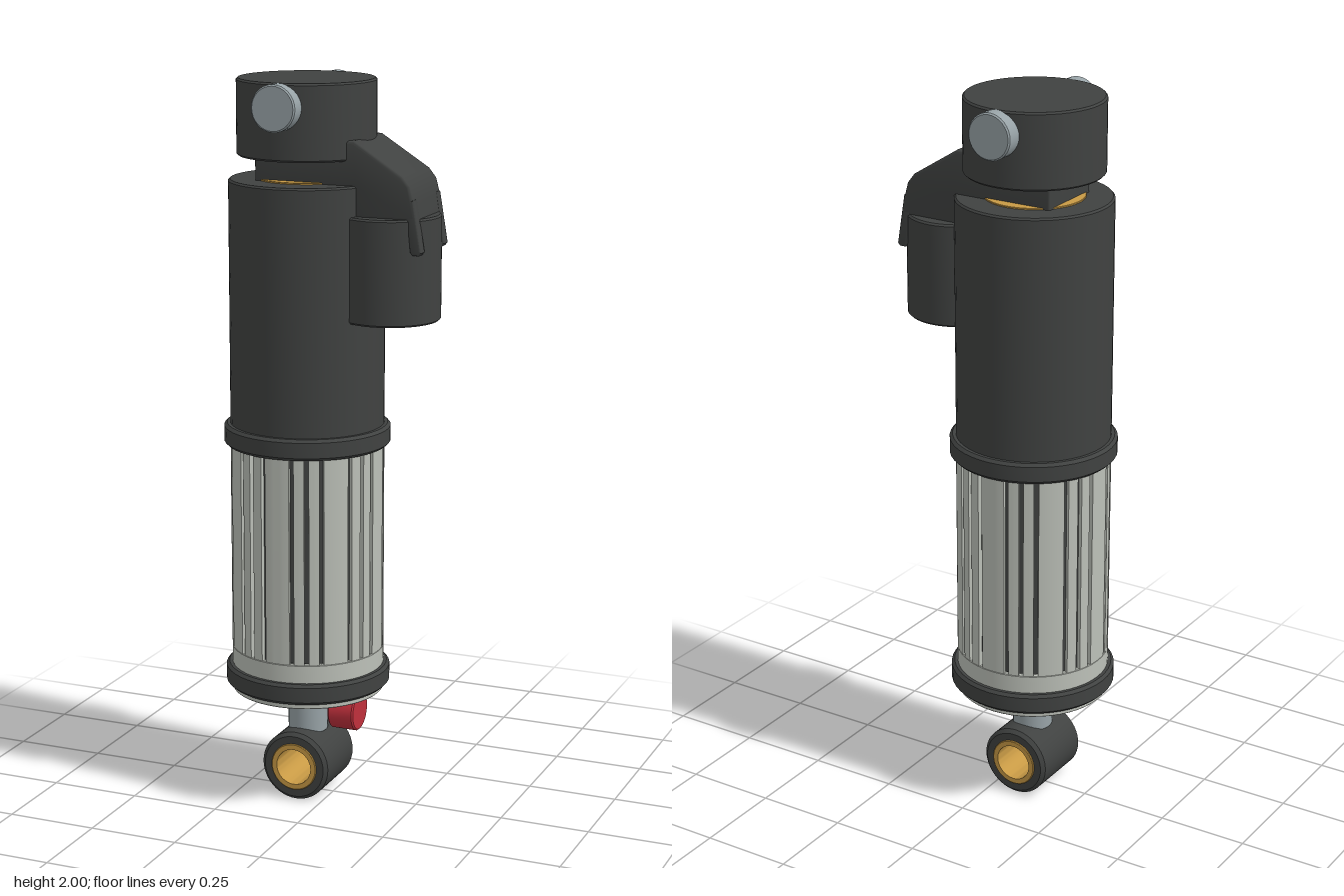
import * as THREE from 'three';
import { toCreasedNormals } from 'three/addons/utils/BufferGeometryUtils.js';

const AXIS = -0.076; // x of the damper's main axis

const mat = (color) => new THREE.MeshStandardMaterial({ color });

export function createModel() {
  const model = new THREE.Group();
  const dark = mat(0x404241), silver = mat(0xbcc0b8), steel = mat(0x98a3a7);
  const gold = mat(0xc89a45), red = mat(0xc0303c);

  const add = (name, geometry, material, x = 0, y = 0, z = 0) => {
    const mesh = new THREE.Mesh(geometry, material);
    mesh.name = name;
    mesh.position.set(x, y, z);
    model.add(mesh);
    return mesh;
  };

  const lathe = (points, segments = 48) => toCreasedNormals(
    new THREE.LatheGeometry(points.map(([r, y]) => new THREE.Vector2(r, y)), segments), 0.5);

  // Solid cylinder from y0 to y1 with chamfered rims
  const drum = (r, y0, y1, c = 0.005, segments = 48) => lathe([
    [0, y0], [r - c, y0], [r, y0 + c], [r, y1 - c], [r - c, y1], [0, y1]], segments);

  // Hollow ring centred on its own axis, with chamfered rims
  const ring = (outer, inner, half, c) => lathe([
    [inner, -half], [outer - c, -half], [outer, -half + c], [outer, half - c],
    [outer - c, half], [inner, half], [inner, -half]]);

  // Side profile extruded to a given width across z, with small bevelled edges
  const slab = (points, width, bevel) => {
    const shape = new THREE.Shape(points.map(([x, y]) => new THREE.Vector2(x, y)));
    const g = new THREE.ExtrudeGeometry(shape, {
      depth: width - 2 * bevel, bevelEnabled: true, bevelThickness: bevel,
      bevelSize: bevel, bevelOffset: -bevel, bevelSegments: 3,
    });
    g.translate(0, 0, bevel - width / 2);
    return toCreasedNormals(g, 0.6);
  };

  // Top cap with a bolt head front and back
  add('topCap', drum(0.187, 1.796, 2), dark, AXIS);
  for (const s of [1, -1]) {
    const bolt = add(s > 0 ? 'frontBolt' : 'backBolt',
      drum(0.062, 0, 0.1, 0.004, 32), steel, AXIS, 1.938, s * 0.122);
    bolt.rotation.x = s * Math.PI / 2;
  }

  // Upper body and its gold seal
  add('upperBody', drum(0.21, 1.03, 1.733), dark, AXIS);
  add('goldSeal', drum(0.135, 1.72, 1.737, 0.001), gold, AXIS);

  // Bracket: neck under the cap, sloping arm over the reservoir
  add('bracketArm', slab([
    [-0.183, 1.725], [0.1, 1.725], [0.1, 1.65], [0.274, 1.65], [0.266, 1.7],
    [0.255, 1.74], [0.235, 1.765], [0.1, 1.85], [-0.183, 1.85]], 0.204, 0.008), dark);
  for (const s of [1, -1]) {
    add(s > 0 ? 'frontProng' : 'backProng', slab([
      [0.24, 1.7], [0.258, 1.568], [0.265, 1.56], [0.282, 1.56], [0.289, 1.568],
      [0.266, 1.705]], 0.032, 0.005), dark, 0, 0, s * 0.086);
  }
  add('reservoir', drum(0.137, 1.37, 1.653), dark, 0.163);

  // Slotted sleeve: eight groups of three lengthwise grooves
  const R = 0.21, floor = 0.196, halfSlot = 0.03;
  const outline = new THREE.Shape();
  for (let group = 0; group < 8; group++) {
    for (const offset of [-0.196, 0, 0.196]) {
      const a = (group + 0.5) * Math.PI / 4 + offset;
      for (const [r, t] of [[R, -halfSlot], [floor, -halfSlot], [floor, halfSlot], [R, halfSlot]]) {
        const x = r * Math.cos(a + t), y = r * Math.sin(a + t);
        if (group === 0 && offset < 0 && t < 0 && r === R) outline.moveTo(x, y);
        else outline.lineTo(x, y);
      }
      // follow the round wall to the next groove
      const next = offset > 0 ? Math.PI / 4 - 0.392 : 0.196;
      outline.absarc(0, 0, R, a + halfSlot, a + next - halfSlot, false);
    }
  }
  const sleeve = new THREE.ExtrudeGeometry(outline, { depth: 0.59, bevelEnabled: false, curveSegments: 4 });
  sleeve.rotateX(-Math.PI / 2);
  add('slottedSleeve', toCreasedNormals(sleeve, 0.5), silver, AXIS, 0.435);
  add('slotCore', drum(floor + 0.002, 0.436, 1.03, 0.001), dark, AXIS);
  add('sleeveBase', drum(R, 0.31, 0.435, 0.002), silver, AXIS);

  // Collars at both ends of the sleeve
  add('upperCollar', drum(0.227, 1.01, 1.068, 0.008), dark, AXIS);
  add('lowerCollar', lathe([[0.2, 0.326], [0.219, 0.326], [0.227, 0.334],
    [0.227, 0.376], [0.219, 0.384], [0.2, 0.384]]), dark, AXIS);

  // Rod, adjuster knob and mounting eye
  add('rod', drum(0.055, 0.18, 0.33, 0.003, 32), steel, AXIS);
  const knob = add('adjusterKnob', drum(0.056, 0, 0.076, 0.004, 24), red, 0.081, 0.252);
  knob.rotation.z = Math.PI / 2;
  const eye = add('mountingEye', ring(0.098, 0.066, 0.1, 0.01), dark, AXIS, 0.098);
  const bushing = add('eyeBushing', ring(0.067, 0.051, 0.104, 0.002), gold, AXIS, 0.098);
  eye.rotation.x = bushing.rotation.x = Math.PI / 2;

  return model;
}
